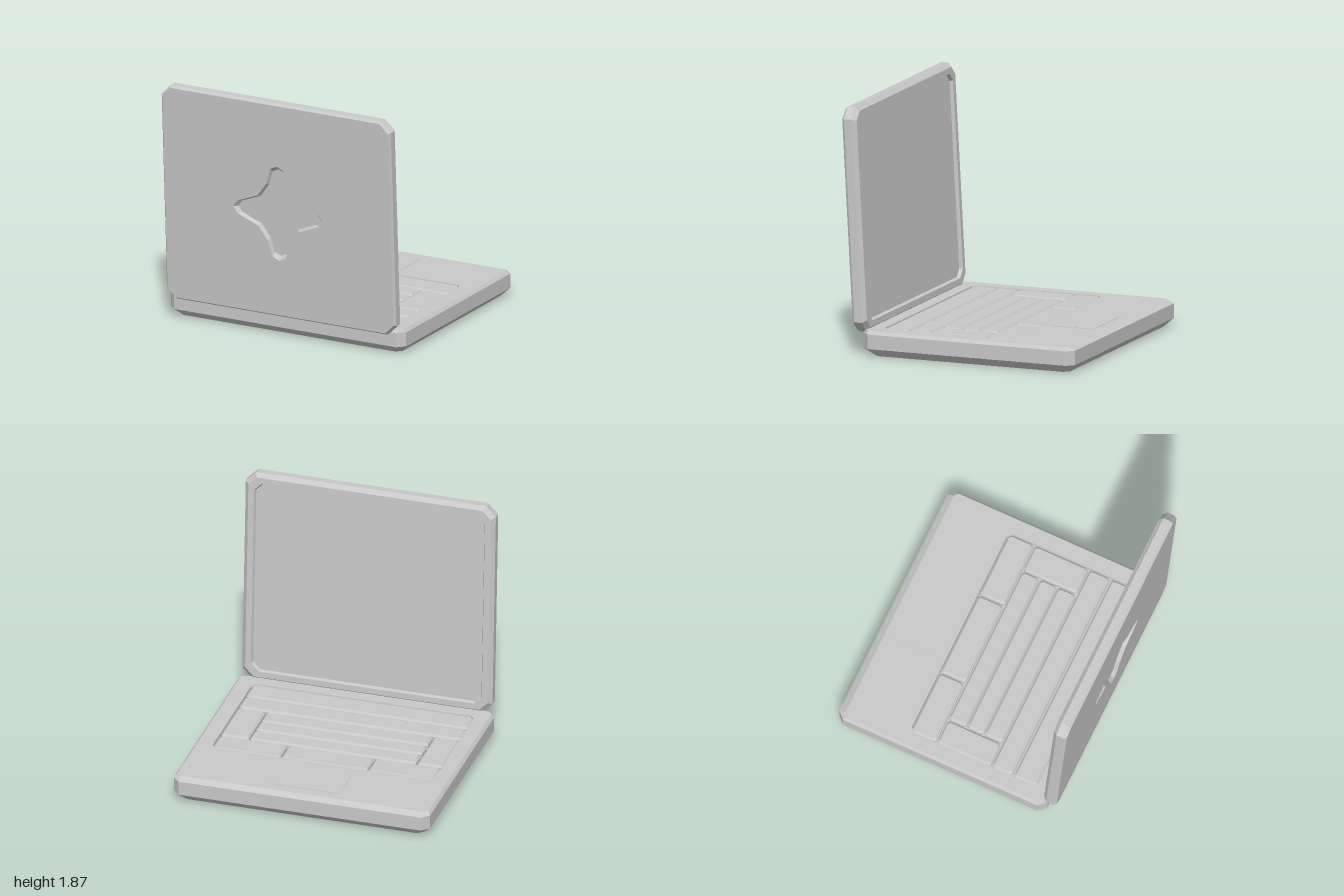
import * as THREE from 'three';

const grey = new THREE.MeshStandardMaterial({ color: 0xc8c8c8 });
grey.name = 'grey';

// Chamfered rectangle at height y, counter-clockwise seen from above
function ring(x0, x1, z0, z1, y, c) {
  return [[x1, z1 - c], [x1, z0 + c], [x1 - c, z0], [x0 + c, z0],
    [x0, z0 + c], [x0, z1 - c], [x0 + c, z1], [x1 - c, z1]].map(([x, z]) => [x, y, z]);
}

// Flat-shaded skin through rings of equal length, with optional first cap
function loft(rings, capStart = true) {
  const pos = [];
  const tri = (...pts) => pts.forEach((p) => pos.push(...p));
  const n = rings[0].length;
  for (let r = 0; r < rings.length - 1; r++) {
    const a = rings[r], b = rings[r + 1];
    for (let i = 0; i < n; i++) {
      const j = (i + 1) % n;
      tri(a[i], a[j], b[j]);
      tri(a[i], b[j], b[i]);
    }
  }
  const cap = (pts, flip) => {
    const mid = [0, 1, 2].map((k) => pts.reduce((s, p) => s + p[k], 0) / n);
    pts.forEach((p, i) => {
      const q = pts[(i + 1) % n];
      if (flip) tri(mid, q, p); else tri(mid, p, q);
    });
  };
  if (capStart) cap(rings[0], true);
  cap(rings[rings.length - 1], false);
  const geo = new THREE.BufferGeometry();
  geo.setAttribute('position', new THREE.Float32BufferAttribute(pos, 3));
  geo.computeVertexNormals();
  return geo;
}

function add(parent, name, geo) {
  const mesh = new THREE.Mesh(geo, grey);
  mesh.name = name;
  parent.add(mesh);
  return mesh;
}

function buildBase() {
  const base = new THREE.Group();
  base.name = 'base';
  // Chamfered slab with the keyboard well sunk into its top
  add(base, 'baseShell', loft([
    ring(-0.94, 0.94, -0.88, 0.70, 0, 0.04),
    ring(-1, 1, -0.94, 0.77, 0.06, 0.055),
    ring(-1, 1, -0.94, 0.77, 0.17, 0.055),
    ring(-0.98, 0.98, -0.89, 0.75, 0.195, 0.03),
    ring(-0.875, 0.86, -0.395, 0.645, 0.195, 0.035),
    ring(-0.87, 0.855, -0.39, 0.64, 0.155, 0.035),
  ]));

  // Keys: x0, x1, z0, z1
  const keys = [
    [-0.87, -0.36, -0.39, -0.185], [-0.35, 0.32, -0.39, -0.185], [0.33, 0.855, -0.39, -0.185],
    [-0.87, -0.675, -0.175, 0.265], [0.64, 0.855, -0.175, 0.265],
    [-0.665, 0.63, -0.175, -0.035], [-0.665, 0.63, -0.025, 0.11], [-0.665, 0.63, 0.12, 0.265],
    [-0.87, 0.855, 0.275, 0.44], [-0.87, 0.855, 0.455, 0.64],
  ];
  const keyboard = new THREE.Group();
  keyboard.name = 'keyboard';
  base.add(keyboard);
  for (const [x0, x1, z0, z1] of keys) {
    const level = (inset, y) => ring(x0 + inset, x1 - inset, z0 + inset, z1 - inset, y, 0.015);
    add(keyboard, 'key', loft([level(0, 0.15), level(0, 0.178), level(0.015, 0.193)]));
  }

  // Trackpad plate
  add(base, 'trackpad', loft([
    ring(-0.27, 0.285, -0.81, -0.48, 0.193, 0.015),
    ring(-0.27, 0.285, -0.81, -0.48, 0.198, 0.015),
  ]));
  return base;
}

function buildLid() {
  const lid = new THREE.Group();
  lid.name = 'lid';
  const level = (inset, w, c) => ring(-0.97 + inset, 0.98 - inset, inset, 1.70 - inset, w, c);
  const backRing = level(0.015, -0.055, 0.07);
  // Frame with rounded-off rim, bezel and sunken screen
  add(lid, 'screenFrame', loft([
    backRing,
    level(0, -0.035, 0.08),
    level(0, 0.025, 0.08),
    level(0.03, 0.055, 0.065),
    level(0.075, 0.055, 0.06),
    level(0.085, 0.03, 0.055),
  ], false).rotateX(-Math.PI / 2));

  // Four-pointed recess outline, mirrored from one quadrant
  const quad = [[0.38, 0], [0.345, 0.05], [0.17, 0.12], [0.09, 0.23], [0.055, 0.35]];
  const top = [0, 0.375];
  const half = [...quad, top, ...quad.slice(1).reverse().map(([x, y]) => [-x, y])];
  const star = [...half, [-0.38, 0],
    ...half.slice(1).reverse().map(([x, y]) => [x, -y])];
  const starRing = (s, z) => star.map(([x, y]) => [0.005 + x * s, 0.825 + y * s, z]);

  // Back panel with the recess cut out
  const panel = new THREE.Shape(backRing.map((p) => new THREE.Vector2(p[0], p[2])));
  panel.holes.push(new THREE.Path(starRing(1, 0).map((p) => new THREE.Vector2(p[0], p[1]))));
  add(lid, 'lidBack', new THREE.ShapeGeometry(panel).translate(0, 0, 0.055));
  add(lid, 'lidRecess', loft([starRing(1, 0.055), starRing(0.92, 0.025)], false));

  lid.position.set(0, 0.17, 0.79);
  lid.rotation.x = 0.055;
  return lid;
}

export function createModel() {
  const model = new THREE.Group();
  model.name = 'laptop';
  model.add(buildBase(), buildLid());
  return model;
}
